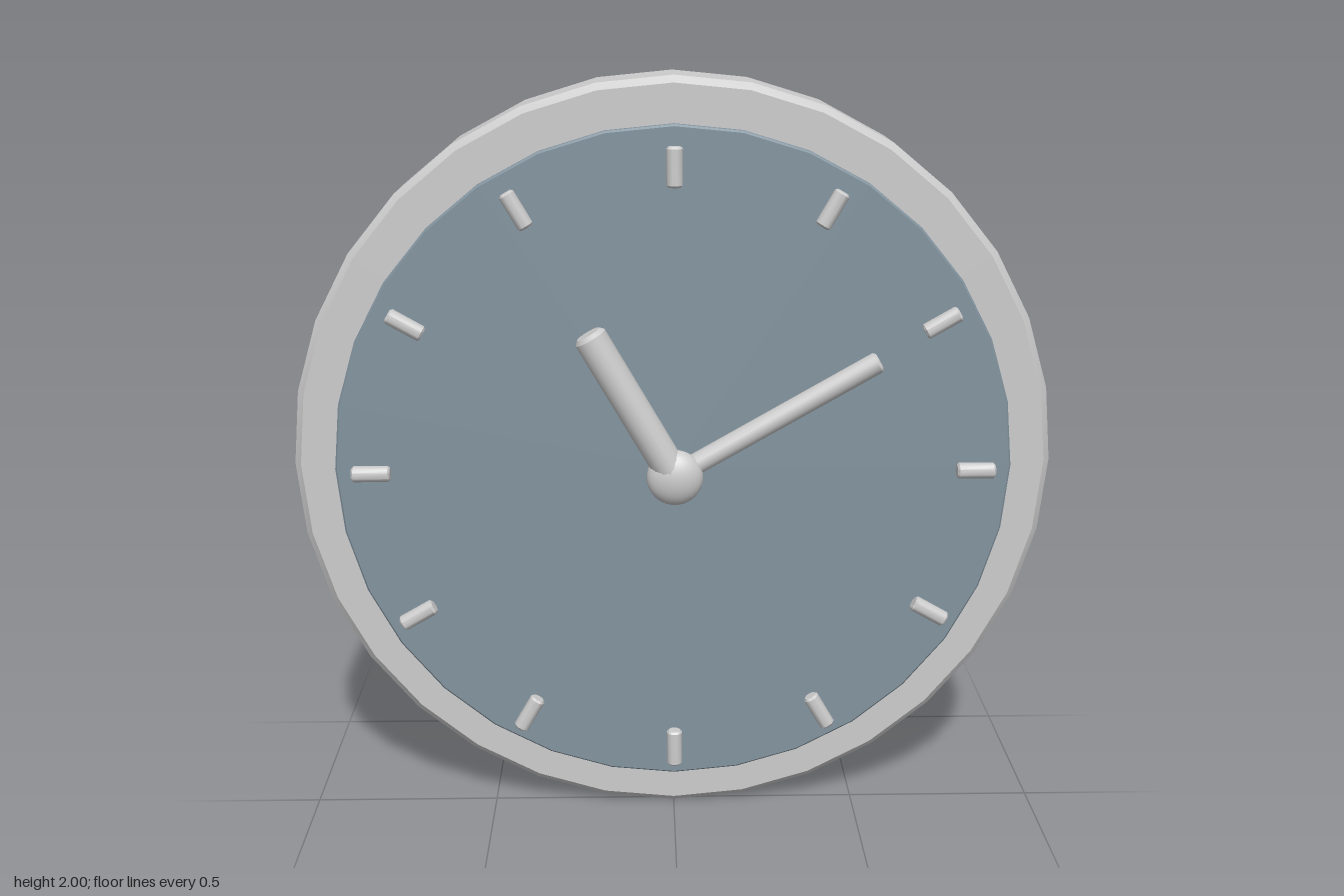
import * as THREE from 'three';
import { toCreasedNormals } from 'three/addons/utils/BufferGeometryUtils.js';

const grey = new THREE.MeshStandardMaterial({ color: 0xcccccc });
const blue = new THREE.MeshStandardMaterial({ color: 0x82939e });

// Solid cylinder along y with chamfered rims, centred on the origin
function chamferedCylinder(radius, length, bevel, sides) {
  const h = length / 2;
  const profile = [
    [0, -h], [radius - bevel, -h], [radius, -h + bevel],
    [radius, h - bevel], [radius - bevel, h], [0, h],
  ].map(([x, y]) => new THREE.Vector2(x, y));
  return toCreasedNormals(new THREE.LatheGeometry(profile, sides), 0.65);
}

export function createModel() {
  const clock = new THREE.Group();
  clock.name = 'wallClock';

  // Everything is laid out around the dial centre
  const centre = new THREE.Group();
  centre.name = 'clockAssembly';
  centre.position.y = 1;
  clock.add(centre);

  function add(name, geometry, material, x, y, z) {
    const mesh = new THREE.Mesh(geometry, material);
    mesh.name = name;
    mesh.position.set(x, y, z);
    centre.add(mesh);
    return mesh;
  }

  // Disc lying in the clock plane, between two depths
  function addDisc(name, radius, back, front, bevel, material) {
    const geometry = chamferedCylinder(radius, front - back, bevel, 32).rotateX(Math.PI / 2);
    add(name, geometry, material, 0, 0, (back + front) / 2);
  }

  // Rod running outward along a clock angle, clockwise from twelve
  function addRod(name, angle, start, end, radius, z) {
    const middle = (start + end) / 2;
    const geometry = chamferedCylinder(radius, end - start, radius * 0.25, 16);
    const rod = add(name, geometry, grey, Math.sin(angle) * middle, Math.cos(angle) * middle, z);
    rod.rotation.z = -angle;
  }

  addDisc('case', 1, -0.208, 0.031, 0.018, grey);
  addDisc('dial', 0.885, 0.047, 0.077, 0.005, blue);

  // Twelve hour markers
  for (let i = 0; i < 12; i++) {
    addRod('hourMarker' + (i || 12), (i * Math.PI) / 6, 0.735, 0.835, 0.021, 0.118);
  }

  // Hands and flattened hub
  addRod('hourHand', -Math.PI / 6, 0, 0.435, 0.043, 0.162);
  addRod('minuteHand', Math.PI / 3, 0, 0.6, 0.028, 0.148);
  const hub = add('hub', new THREE.SphereGeometry(0.073, 24, 16), grey, 0, 0, 0.164);
  hub.scale.z = 0.6;

  return clock;
}
